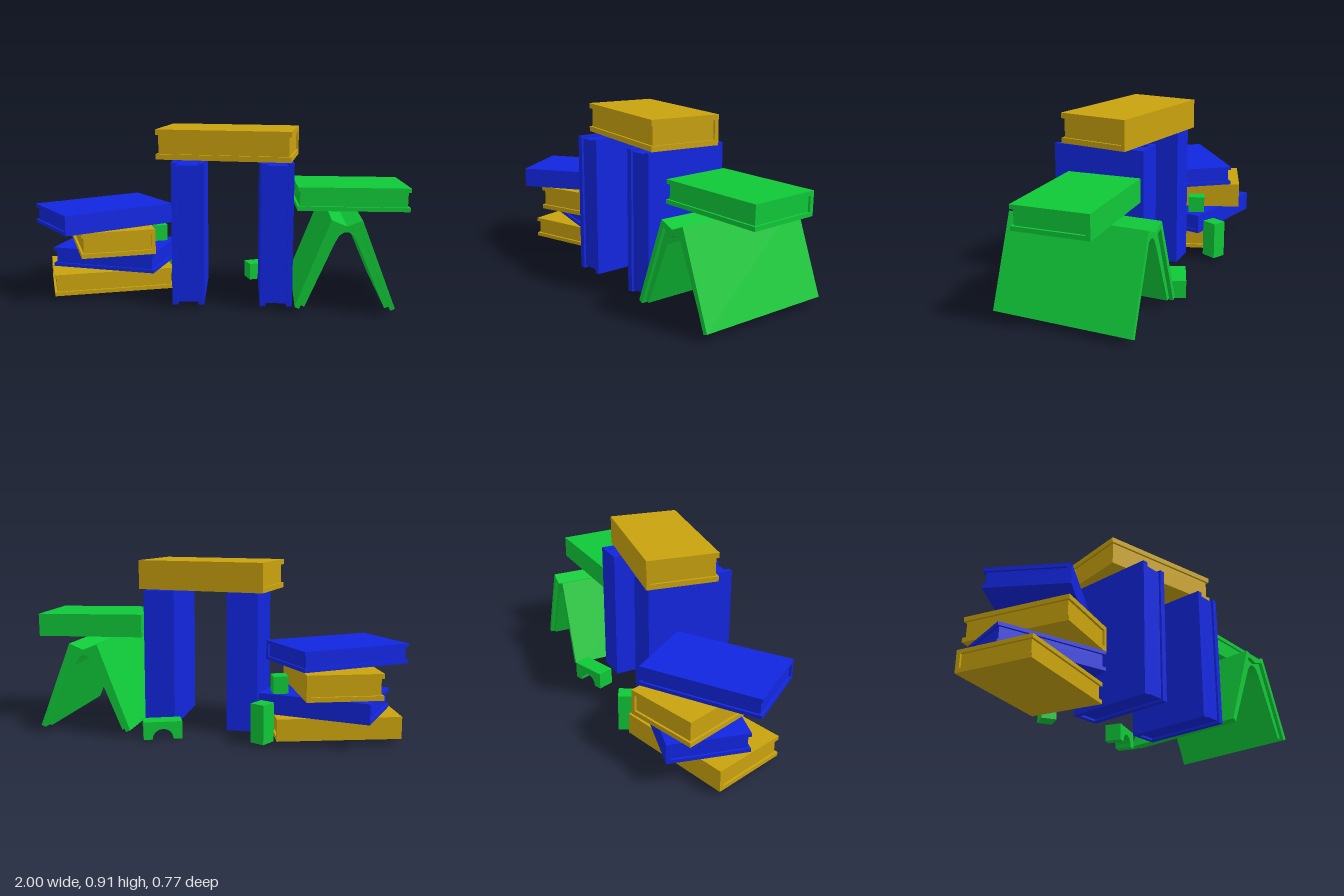
import * as THREE from 'three';

const material = (color) => new THREE.MeshStandardMaterial({ color, flatShading: true });
const BLUE = material(0x1226e0), YELLOW = material(0xc9a20e), GREEN = material(0x10c838);

function addMesh(parent, name, geometry, mat) {
  const mesh = new THREE.Mesh(geometry, mat);
  mesh.name = name;
  parent.add(mesh);
  return mesh;
}

// Extrudes a polygon along z, centred on z = 0
function prism(points, depth) {
  const shape = new THREE.Shape(points.map(([x, y]) => new THREE.Vector2(x, y)));
  return new THREE.ExtrudeGeometry(shape, { depth, bevelEnabled: false }).translate(0, 0, -depth / 2);
}

// Closed book: length on x, thickness on y, spine on +z
function closedBook(name, mat, length, width, thick) {
  const book = new THREE.Group();
  book.name = name;
  const w = width / 2, t = thick / 2, board = thick * 0.18, spine = 0.022, inset = 0.012;

  // U-shaped cover wrapping the pages
  const profile = [[-w, -t], [w, -t], [w, t], [-w, t],
    [-w, t - board], [w - spine, t - board], [w - spine, board - t], [-w, board - t]];
  addMesh(book, 'cover', prism(profile, length).rotateY(-Math.PI / 2), mat);

  // Page block, set back from the three open edges
  const pages = addMesh(book, 'pages',
    new THREE.BoxGeometry(length - 2 * inset, thick - 2 * board, width - spine - inset), mat);
  pages.position.z = (inset - spine) / 2;
  return book;
}

// Book standing open like a tent, ridge along z
function openBook() {
  const book = new THREE.Group();
  book.name = 'openBook';
  const mirrored = (half) => half.concat(half.slice().reverse()
    .filter(([x]) => x !== 0).map(([x, y]) => [-x, y]));
  const outer = mirrored([[-0.25, 0.038], [-0.076, 0.487], [0, 0.456]]);
  const inner = mirrored([[-0.227, 0.028], [-0.064, 0.452], [0, 0.434]]);
  addMesh(book, 'cover', prism(outer.concat(inner.reverse()), 0.73), GREEN);

  const pageTop = mirrored([[-0.222, 0.042], [-0.064, 0.452], [0, 0.434]]);
  const pageUnder = mirrored([[-0.2, 0.034], [-0.055, 0.37], [-0.035, 0.405], [-0.012, 0.422]]);
  addMesh(book, 'pages', prism(pageTop.concat(pageUnder.reverse()), 0.69), GREEN);
  return book;
}

// Small bridge block with an arch cut from its underside
function archBlock(length, height, depth, radius) {
  const outline = [[-length / 2, 0], [-length / 2, height], [length / 2, height], [length / 2, 0]];
  for (let i = 0; i <= 8; i++) {
    const a = (i / 8) * Math.PI;
    outline.push([radius * Math.cos(a), radius * Math.sin(a)]);
  }
  return prism(outline, depth);
}

export function createModel() {
  const model = new THREE.Group();
  model.name = 'bookPlayground';
  const PI = Math.PI;

  // name, material, [length, width, thickness], [x, y, z], yaw, roll
  const books = [
    ['stackBookBottom', YELLOW, [0.64, 0.41, 0.115], [-0.61, 0.083, -0.045], -2.84, 0],
    ['stackBookLower', BLUE, [0.58, 0.41, 0.105], [-0.58, 0.193, -0.085], 2.935, 0],
    ['stackBookUpper', YELLOW, [0.58, 0.39, 0.135], [-0.605, 0.313, -0.045], 1.907, 0],
    ['stackBookTop', BLUE, [0.625, 0.41, 0.105], [-0.627, 0.435, 0.017], 0.6435, 0],
    ['leftPillarBook', BLUE, [0.735, 0.485, 0.165], [0.305, 0.387, 0.078], PI + 0.03, PI / 2],
    ['rightPillarBook', BLUE, [0.735, 0.485, 0.165], [-0.145, 0.387, 0.078], PI + 0.03, PI / 2],
    ['lintelBook', YELLOW, [0.7, 0.38, 0.155], [0.058, 0.832, 0.05], PI - 0.137, 0],
    ['roofBook', GREEN, [0.577, 0.388, 0.122], [0.697, 0.559, 0.02], PI + 0.05, 0.012],
  ];
  for (const [name, mat, size, position, yaw, roll] of books) {
    const book = closedBook(name, mat, ...size);
    book.position.set(...position);
    book.rotation.set(0, yaw, roll, 'YXZ');
    model.add(book);
  }

  const tent = openBook();
  tent.position.set(0.655, 0, 0.017);
  model.add(tent);

  // Loose blocks behind the books
  const arch = addMesh(model, 'archBlock', archBlock(0.2, 0.093, 0.092, 0.055), GREEN);
  arch.position.set(0.245, 0, -0.295);
  arch.rotation.y = 0.385;

  const standing = addMesh(model, 'standingBlock', new THREE.BoxGeometry(0.08, 0.203, 0.09), GREEN);
  standing.position.set(-0.287, 0.114, -0.31);
  standing.rotation.y = -0.46;

  const perched = addMesh(model, 'perchedBlock', new THREE.BoxGeometry(0.078, 0.2, 0.09), GREEN);
  perched.position.set(-0.353, 0.235, -0.178);
  perched.rotation.y = 0.336;

  return model;
}
